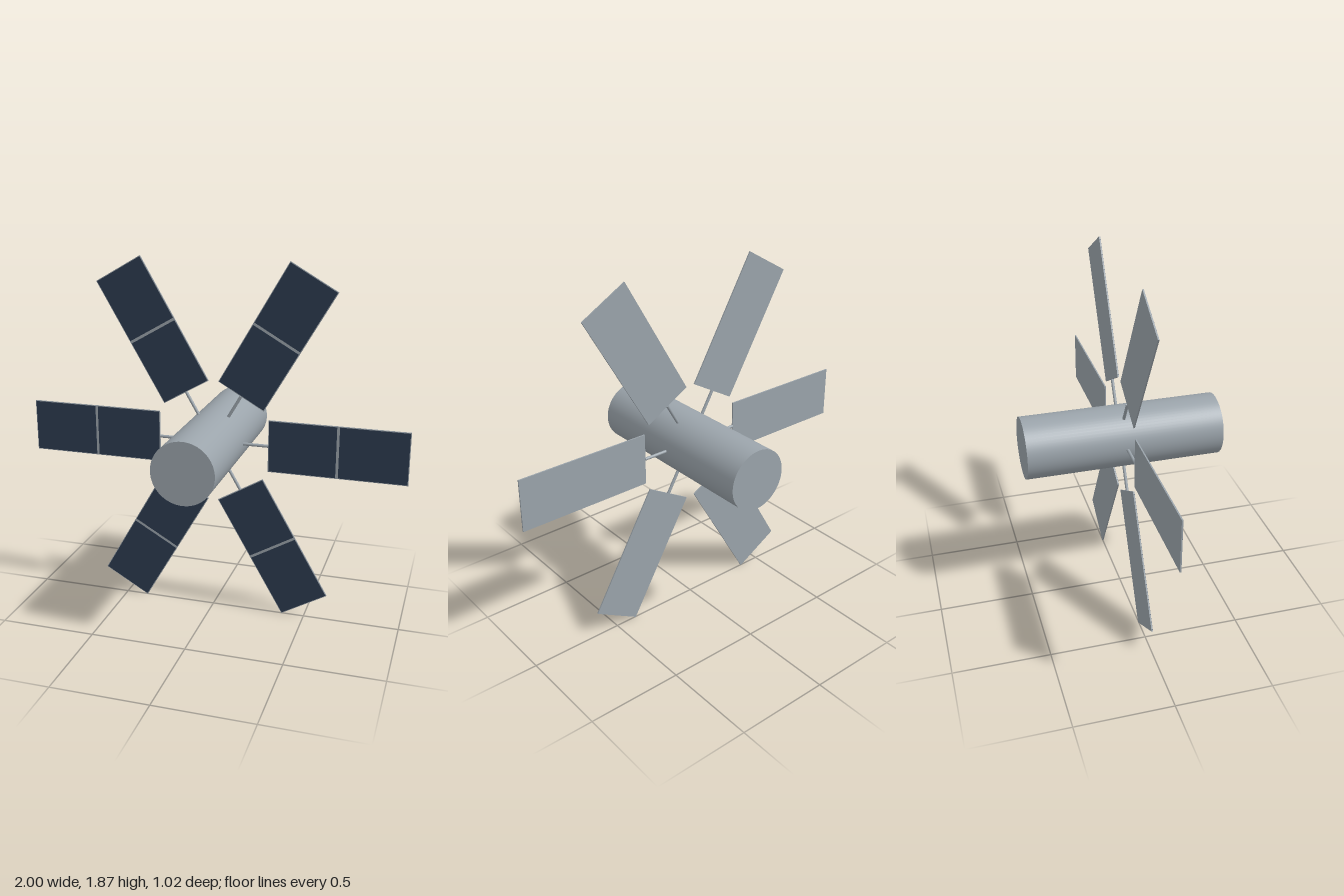
import * as THREE from 'three';

const CENTRE_Y = 0.935;
const BODY_RADIUS = 0.16, BODY_LENGTH = 1.02;
const PANEL_INNER = 0.29, PANEL_OUTER = 1, PANEL_WIDTH = 0.275, PANEL_DEPTH = 0.007;
const BORDER = 0.004, GAP = 0.014, CELL_DEPTH = 0.002;

export function createModel() {
  const metal = new THREE.MeshStandardMaterial({ name: 'grey metal', color: 0x9ba4ab });
  const solar = new THREE.MeshStandardMaterial({ name: 'dark blue solar cell', color: 0x2c3b4f });

  const add = (parent, name, geometry, material, x = 0, y = 0, z = 0) => {
    const mesh = new THREE.Mesh(geometry, material);
    mesh.name = name;
    mesh.position.set(x, y, z);
    parent.add(mesh);
    return mesh;
  };

  const model = new THREE.Group();
  model.name = 'satellite';

  // Cylindrical body lying along z
  const bodyGeometry = new THREE.CylinderGeometry(BODY_RADIUS, BODY_RADIUS, BODY_LENGTH, 64).rotateX(Math.PI / 2);
  add(model, 'body', bodyGeometry, metal, 0, CENTRE_Y, 0);

  // Shared geometry for the arms
  const strutStart = BODY_RADIUS - 0.02;
  const strutGeometry = new THREE.CylinderGeometry(0.008, 0.008, PANEL_INNER - strutStart, 16).rotateZ(Math.PI / 2);
  const panelLength = PANEL_OUTER - PANEL_INNER;
  const panelMiddle = (PANEL_OUTER + PANEL_INNER) / 2;
  const frameGeometry = new THREE.BoxGeometry(panelLength, PANEL_WIDTH, PANEL_DEPTH);
  const cellLength = (panelLength - GAP) / 2 - BORDER;
  const cellGeometry = new THREE.BoxGeometry(cellLength, PANEL_WIDTH - 2 * BORDER, CELL_DEPTH);

  // Six radial arms, each a strut and a panel with two cells on its front
  for (let i = 0; i < 6; i++) {
    const arm = new THREE.Group();
    arm.name = `solarArm${i + 1}`;
    arm.position.y = CENTRE_Y;
    arm.rotation.z = (i * Math.PI) / 3;
    add(arm, 'strut', strutGeometry, metal, (strutStart + PANEL_INNER) / 2);
    add(arm, 'panelFrame', frameGeometry, metal, panelMiddle);
    for (const side of [-1, 1]) {
      add(arm, side < 0 ? 'innerCell' : 'outerCell', cellGeometry, solar,
        panelMiddle + side * (GAP + cellLength) / 2, 0, PANEL_DEPTH / 2 + CELL_DEPTH / 2 - 0.0005);
    }
    model.add(arm);
  }
  return model;
}
